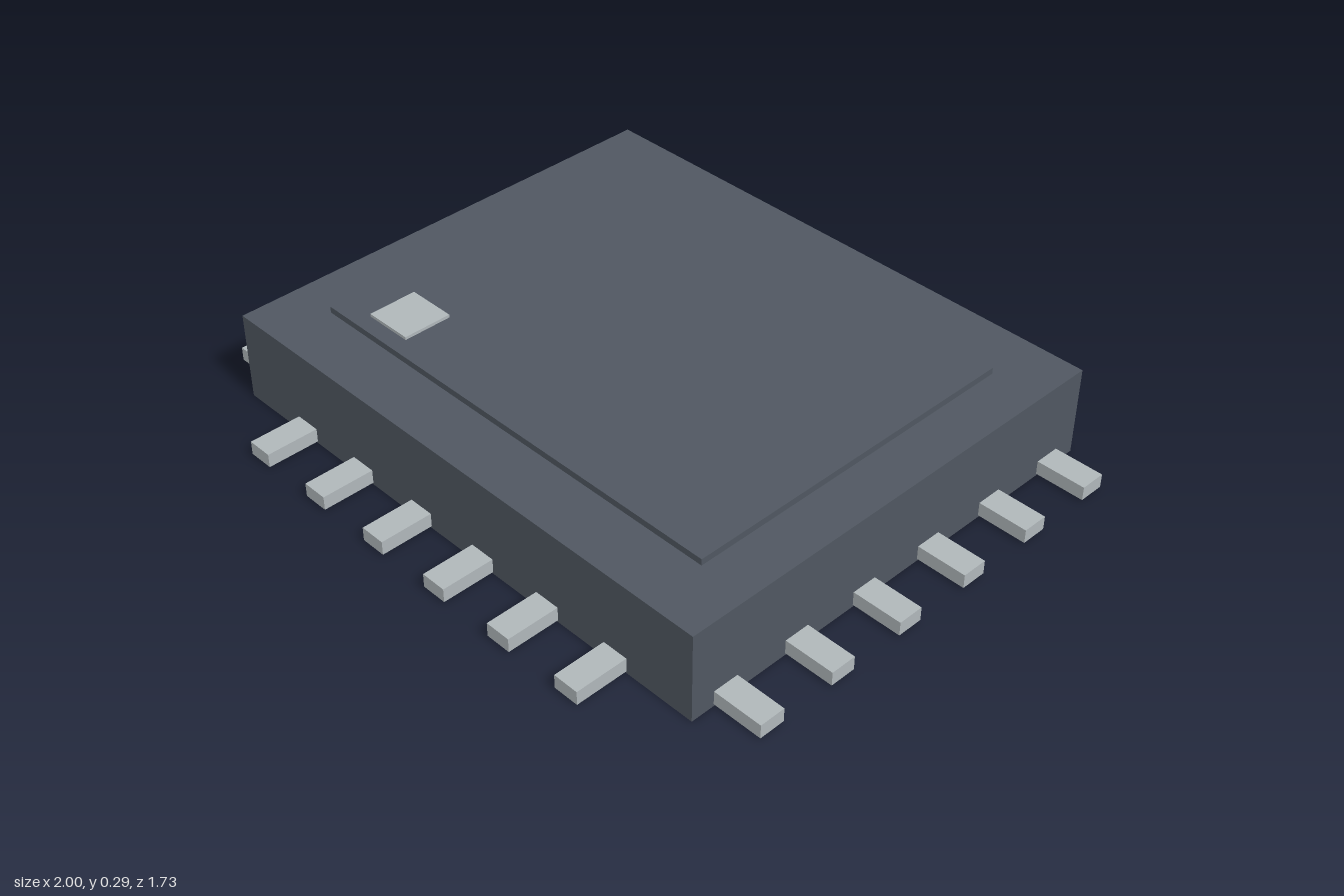
import * as THREE from 'three';

const bodyMat = new THREE.MeshStandardMaterial({ name: 'slate casing', color: 0x505761 });
const metalMat = new THREE.MeshStandardMaterial({ name: 'pale metal', color: 0xb0b7ba });

// Box spanning y0..y1, centred on x, z
function box(name, mat, w, d, y0, y1, x = 0, z = 0) {
  const mesh = new THREE.Mesh(new THREE.BoxGeometry(w, y1 - y0, d), mat);
  mesh.position.set(x, (y0 + y1) / 2, z);
  mesh.name = name;
  return mesh;
}

export function createModel() {
  const model = new THREE.Group();
  model.name = 'chipPackage';

  // Casing, raised lid panel and corner marker
  model.add(box('casing', bodyMat, 1.704, 1.414, 0, 0.266));
  model.add(box('lidPanel', bodyMat, 1.4, 1.056, 0.266, 0.285));
  model.add(box('cornerMarker', metalMat, 0.148, 0.148, 0.285, 0.294, -0.515, 0.405));

  // Six contact pins along each of the four sides
  const pins = new THREE.Group();
  pins.name = 'pins';
  const pitch = 0.239, width = 0.077, length = 0.17;
  for (const s of [-1, 1]) {
    for (let i = 0; i < 6; i++) {
      const t = (i - 2.5) * pitch;
      pins.add(box(s > 0 ? 'frontPin' : 'backPin', metalMat,
        width, length, 0.006, 0.047, t, s * (0.863 - length / 2)));
      pins.add(box(s > 0 ? 'leftPin' : 'rightPin', metalMat,
        length, width, 0.006, 0.047, s * (1 - length / 2), t));
    }
  }
  model.add(pins);
  return model;
}
